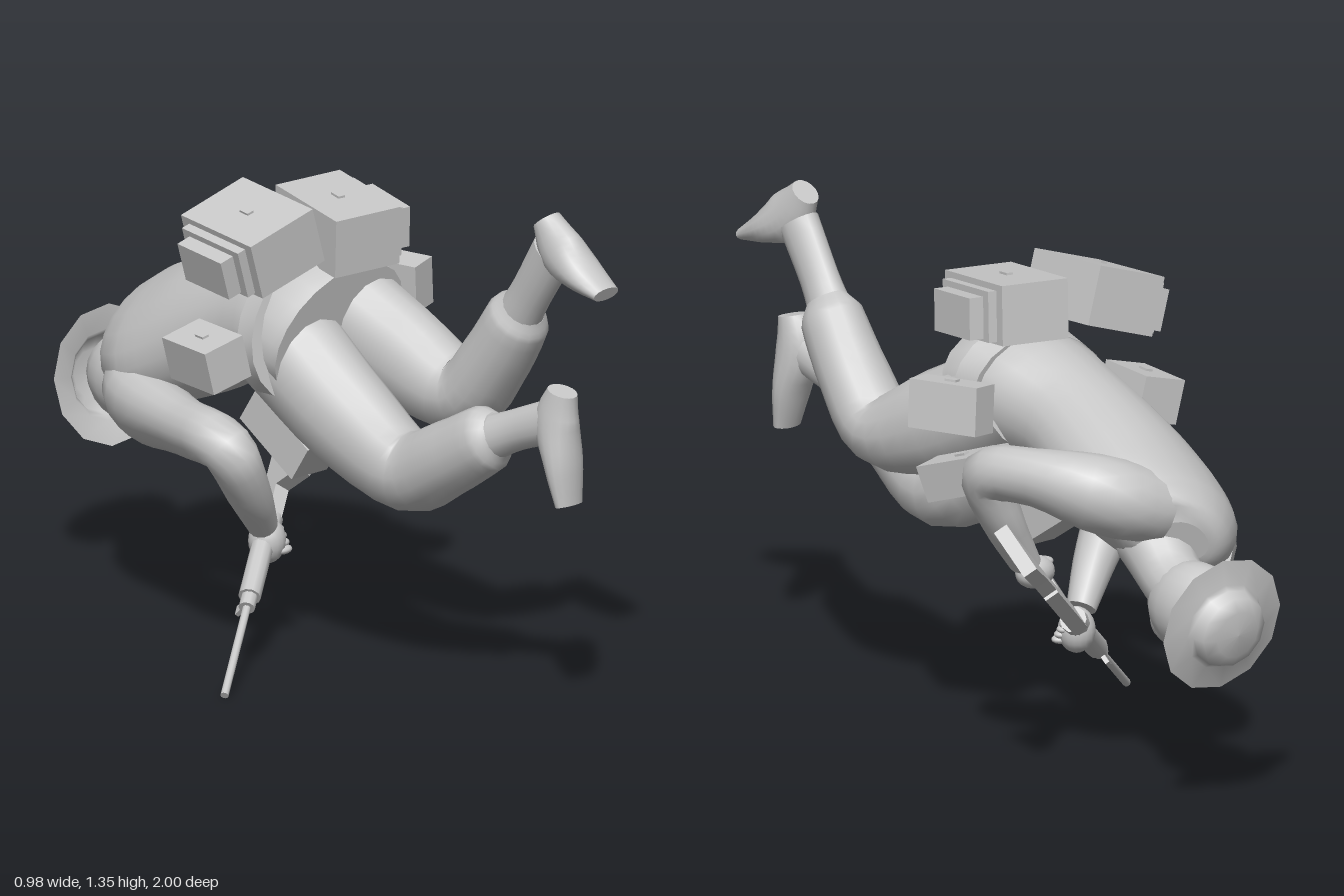
import * as THREE from 'three';

export function createModel() {
  const model = new THREE.Group();
  const grey = new THREE.MeshStandardMaterial({ color: 0xc8c8c8, side: THREE.DoubleSide });
  grey.name = 'plain grey';

  const add = (name, geo, parent = model) => {
    const m = new THREE.Mesh(geo, grey);
    m.name = name;
    parent.add(m);
    return m;
  };

  // Smooth elliptical body through stations [x, y, z, halfWidth, halfDepth]
  function loft(name, stations, { width = [1, 0, 0], sides = 16, steps = 4 } = {}) {
    const path = new THREE.CatmullRomCurve3(stations.map(s => new THREE.Vector3(s[0], s[1], s[2])));
    const size = new THREE.CatmullRomCurve3(stations.map(s => new THREE.Vector3(s[3], s[4] ?? s[3], 0)));
    const rings = (stations.length - 1) * steps;
    const ref = new THREE.Vector3(...width);
    const pos = [], idx = [];
    for (let i = 0; i <= rings; i++) {
      const p = path.getPoint(i / rings), s = size.getPoint(i / rings), t = path.getTangent(i / rings);
      const u = ref.clone().addScaledVector(t, -ref.dot(t)).normalize();
      const v = t.clone().cross(u);
      for (let j = 0; j < sides; j++) {
        const a = (j / sides) * Math.PI * 2;
        const q = p.clone().addScaledVector(u, Math.cos(a) * s.x).addScaledVector(v, Math.sin(a) * s.y);
        pos.push(q.x, q.y, q.z);
        if (i === rings) continue;
        const k = (j + 1) % sides, a0 = i * sides + j, b0 = i * sides + k;
        idx.push(a0, b0, a0 + sides, b0, b0 + sides, a0 + sides);
      }
    }
    // Flat end caps with their own corners, so the rims stay sharp
    for (const ring of [0, rings]) {
      const base = pos.length / 3;
      for (let j = 0; j < sides; j++) {
        const o = (ring * sides + j) * 3;
        pos.push(pos[o], pos[o + 1], pos[o + 2]);
      }
      for (let j = 1; j < sides - 1; j++) {
        if (ring) idx.push(base, base + j, base + j + 1);
        else idx.push(base, base + j + 1, base + j);
      }
    }
    const g = new THREE.BufferGeometry();
    g.setAttribute('position', new THREE.Float32BufferAttribute(pos, 3));
    g.setIndex(idx);
    g.computeVertexNormals();
    return add(name, g);
  }

  const ball = (name, p, s) => {
    const m = add(name, new THREE.SphereGeometry(1, 18, 12));
    m.position.set(...p);
    m.scale.set(...s);
    return m;
  };

  const box = (name, size, p, rot = [0, 0, 0], parent = model) => {
    const m = add(name, new THREE.BoxGeometry(...size), parent);
    m.position.set(...p);
    m.rotation.set(...rot);
    return m;
  };

  // Torso, rolled so that the right side hangs lower
  const roll = { width: [0.88, 0.47, 0], sides: 22 };
  loft('torso', [
    [-0.025, 0.9, 0.1, 0.225, 0.17], [-0.02, 0.92, 0, 0.23, 0.18], [-0.01, 0.885, -0.2, 0.19, 0.16],
    [0.02, 0.805, -0.4, 0.22, 0.17], [0.04, 0.75, -0.55, 0.24, 0.155], [0.06, 0.72, -0.645, 0.205, 0.135],
    [0.08, 0.705, -0.7, 0.14, 0.1], [0.09, 0.7, -0.715, 0.07, 0.05]], roll);
  loft('belt', [[-0.03, 0.923, 0.04, 0.26, 0.19], [-0.025, 0.91, -0.03, 0.25, 0.185]], { ...roll, steps: 1 });

  // Neck, head and brimmed helmet
  loft('neck', [[0.09, 0.68, -0.6, 0.11, 0.1], [0.12, 0.6, -0.7, 0.085, 0.085], [0.135, 0.555, -0.82, 0.09, 0.09]]);
  ball('head', [0.135, 0.545, -0.81], [0.105, 0.125, 0.155]);
  ball('jaw', [0.13, 0.5, -0.75], [0.075, 0.075, 0.1]);
  const profile = [[0.187, 0], [0.12, 0.014], [0.108, 0.025], [0.098, 0.055], [0.065, 0.073], [0, 0.078]];
  const helmet = add('helmet', new THREE.LatheGeometry(profile.map(p => new THREE.Vector2(...p)), 12));
  helmet.position.set(0.143, 0.528, -0.915);
  helmet.quaternion.setFromUnitVectors(new THREE.Vector3(0, 1, 0), new THREE.Vector3(0.11, -0.18, -0.97).normalize());

  // Trouser legs, gathered in at the boots
  loft('leftLeg', [[0.08, 0.95, -0.04, 0.13, 0.15], [0.115, 0.83, 0.2, 0.115, 0.14], [0.125, 0.77, 0.42, 0.105, 0.1],
    [0.12, 0.88, 0.53, 0.095, 0.095], [0.11, 1.02, 0.63, 0.08, 0.09], [0.103, 1.06, 0.658, 0.05, 0.064]]);
  loft('rightLeg', [[-0.1, 0.86, -0.02, 0.14, 0.15], [-0.08, 0.69, 0.2, 0.12, 0.14], [-0.045, 0.585, 0.38, 0.1, 0.11],
    [-0.06, 0.66, 0.55, 0.09, 0.1], [-0.068, 0.745, 0.695, 0.078, 0.09], [-0.067, 0.765, 0.735, 0.05, 0.06]]);

  // Boots: a shaft, then a foot running from heel to toe
  loft('leftBootShaft', [[0.11, 1.0, 0.615, 0.06, 0.07], [0.095, 1.11, 0.695, 0.046, 0.06], [0.085, 1.24, 0.785, 0.046, 0.065]]);
  loft('leftFoot', [[0.08, 1.325, 0.765, 0.037, 0.04], [0.08, 1.25, 0.825, 0.052, 0.07],
    [0.08, 1.205, 0.9, 0.06, 0.047], [0.08, 1.168, 0.985, 0.045, 0.02]]);
  loft('rightBootShaft', [[-0.07, 0.735, 0.68, 0.06, 0.065], [-0.06, 0.79, 0.8, 0.045, 0.055], [-0.052, 0.84, 0.93, 0.045, 0.06]]);
  loft('rightFoot', [[-0.05, 0.925, 0.955, 0.037, 0.043], [-0.05, 0.84, 0.935, 0.052, 0.065],
    [-0.05, 0.73, 0.958, 0.06, 0.044], [-0.05, 0.62, 0.978, 0.045, 0.022]]);

  // Sleeves
  loft('leftSleeve', [[0.1, 0.77, -0.61, 0.1, 0.11], [0.235, 0.82, -0.575, 0.105, 0.115], [0.35, 0.86, -0.42, 0.075, 0.085],
    [0.387, 0.84, -0.28, 0.068, 0.075], [0.33, 0.71, -0.27, 0.055, 0.065], [0.245, 0.575, -0.265, 0.04, 0.05]],
    { width: [0.8, -0.6, 0.1] });
  loft('rightSleeve', [[-0.03, 0.63, -0.63, 0.09, 0.1], [-0.11, 0.595, -0.53, 0.1, 0.12], [-0.215, 0.6, -0.28, 0.075, 0.085],
    [-0.278, 0.6, -0.06, 0.072, 0.072], [-0.2, 0.47, -0.06, 0.06, 0.06], [-0.105, 0.345, -0.1, 0.04, 0.04]],
    { width: [0.7, 0.7, 0.1] });

  // Hands with curled fingers
  function hand(name, p, size, side) {
    ball(name, p, size);
    for (let i = 0; i < 4; i++) {
      const c = [p[0] + side * 0.028, p[1] - 0.025 + 0.016 * i, p[2] + 0.028 - 0.01 * i];
      ball(name + 'Finger', c, [0.03, 0.013, 0.022]);
    }
  }
  hand('leftHand', [0.205, 0.54, -0.26], [0.058, 0.044, 0.045], -1);
  hand('rightHand', [-0.075, 0.295, -0.115], [0.05, 0.062, 0.05], 1);

  // Rifle, built along local x from the muzzle to the butt
  const rifle = new THREE.Group();
  rifle.name = 'rifle';
  model.add(rifle);
  const along = new THREE.Vector3(0.955, 0.685, -0.61).normalize();
  const side = along.clone().cross(new THREE.Vector3(0, 0.64, 0.77)).normalize();
  rifle.quaternion.setFromRotationMatrix(new THREE.Matrix4().makeBasis(along, side.clone().cross(along), side));
  rifle.position.set(-0.485, 0.013, 0.14);
  for (const [name, x0, x1, r] of [['barrel', 0, 0.36, 0.011], ['gasBlock', 0.31, 0.37, 0.022],
    ['handguard', 0.35, 0.6, 0.03], ['handguardRing', 0.58, 0.63, 0.036]]) {
    const m = add(name, new THREE.CylinderGeometry(r, r, x1 - x0, 10).rotateZ(Math.PI / 2), rifle);
    m.position.x = (x0 + x1) / 2;
  }
  box('frontSight', [0.03, 0.04, 0.012], [0.33, -0.03, 0], [0, 0, 0], rifle);
  box('receiver', [0.35, 0.07, 0.04], [0.8, -0.005, 0], [0, 0, 0], rifle);
  box('magazine', [0.085, 0.13, 0.04], [0.755, 0.08, 0], [0, 0, 0.15], rifle);
  box('triggerGuard', [0.06, 0.03, 0.02], [0.87, 0.045, 0], [0, 0, 0], rifle);
  box('grip', [0.04, 0.09, 0.035], [0.94, 0.06, 0], [0, 0, -0.4], rifle);
  const stock = new THREE.Shape([[0.96, -0.03], [1.08, -0.034], [1.3, -0.07], [1.325, 0.07], [1.1, 0.028], [0.96, 0.025]]
    .map(p => new THREE.Vector2(...p)));
  add('stock', new THREE.ExtrudeGeometry(stock, { depth: 0.04, bevelEnabled: false }).translate(0, 0, -0.02), rifle);

  // Packs and pouches: body, buckle and a stepped side pocket
  function pack(name, size, p, rot, pocket) {
    const g = new THREE.Group();
    g.name = name;
    g.position.set(...p);
    g.rotation.set(...rot);
    model.add(g);
    const [w, h, d] = size;
    box('body', size, [0, 0, 0], [0, 0, 0], g);
    box('buckle', [0.02, 0.008, 0.035], [0, h / 2 + 0.002, 0], [0, 0, 0], g);
    if (!pocket) return;
    box('sidePocket', [0.03, h * 0.85, d * 0.8], [pocket * (w / 2 + 0.01), -h * 0.03, 0], [0, 0, 0], g);
    box('sidePocketFront', [0.05, h * 0.7, d * 0.62], [pocket * (w / 2 + 0.042), -h * 0.06, 0], [0, 0, 0], g);
  }
  pack('rightPack', [0.215, 0.16, 0.29], [-0.212, 1.167, -0.03], [0.07, -0.1, 0.32], -1);
  pack('leftPack', [0.2, 0.16, 0.29], [0.03, 1.168, 0.04], [0.1, -0.2, 0.06], 1);
  pack('leftHipPouch', [0.085, 0.13, 0.21], [0.282, 0.955, -0.02], [0.03, 0.25, 0.1]);
  pack('rightHipPouch', [0.125, 0.12, 0.19], [-0.362, 0.87, -0.05], [0, -0.15, 0.25]);
  pack('leftBeltPouch', [0.1, 0.1, 0.25], [0.222, 0.76, -0.02], [0.32, 0.1, -0.15]);
  pack('frontBeltPouch', [0.13, 0.11, 0.23], [-0.06, 0.61, -0.04], [0.58, 0, 0]);

  return model;
}
